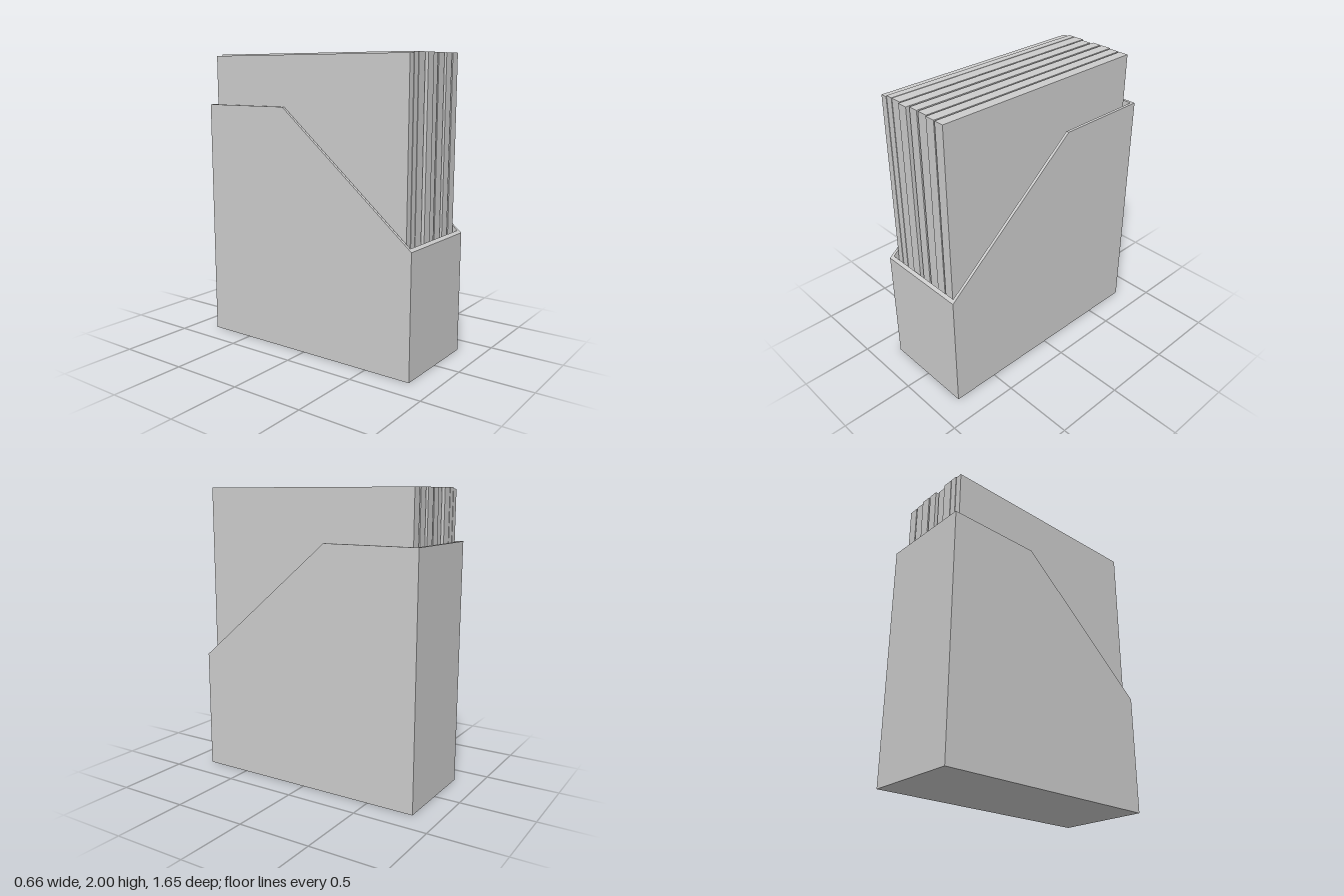
import * as THREE from 'three';

const material = new THREE.MeshStandardMaterial({ color: 0xcccccc });
const W = 0.33, D = 0.825, T = 0.02;      // half width, half depth, wall thickness
const BACK = 1.655, FRONT = 0.825, BEND = -0.165;
const rise = T * (BACK - FRONT) / (D - BEND); // slope height across the front wall

// Extrudes a (z, y) outline along x, centred on the given x
function panel(name, outline, width, x) {
  const shape = new THREE.Shape(outline.map(([z, y]) => new THREE.Vector2(z, y)));
  const geometry = new THREE.ExtrudeGeometry(shape, { depth: width, bevelEnabled: false });
  geometry.translate(0, 0, -width / 2).rotateY(-Math.PI / 2);
  const mesh = new THREE.Mesh(geometry, material);
  mesh.name = name;
  mesh.position.x = x;
  return mesh;
}

export function createModel() {
  const model = new THREE.Group();
  model.name = 'magazineFile';

  // Holder: two sloped side walls joined by a back, floor and front
  const holder = new THREE.Group();
  holder.name = 'holder';
  const side = [[-D, 0], [D, 0], [D, FRONT], [BEND, BACK], [-D, BACK]];
  holder.add(panel('leftWall', side, T, W - T / 2));
  holder.add(panel('rightWall', side, T, -W + T / 2));
  holder.add(panel('backFloorFront', [
    [-D, 0], [D, 0], [D, FRONT], [D - T, FRONT + rise],
    [D - T, T], [-D + T, T], [-D + T, BACK], [-D, BACK],
  ], 2 * (W - T), 0));
  model.add(holder);

  // Magazines: x from, x to, top height, z centre
  const magazines = new THREE.Group();
  magazines.name = 'magazines';
  [
    [-0.302, -0.256, 1.99, -0.002],
    [-0.25, -0.203, 2, -0.002],
    [-0.197, -0.123, 2, -0.002],
    [-0.113, -0.043, 2, 0.014],
    [-0.03, 0.035, 2, -0.002],
    [0.048, 0.121, 2, -0.002],
    [0.131, 0.2, 2, 0.008],
    [0.211, 0.279, 2, 0.01],
  ].forEach(([x0, x1, top, z], i) => {
    const mesh = new THREE.Mesh(new THREE.BoxGeometry(x1 - x0, top - T, 1.55), material);
    mesh.name = `magazine${i + 1}`;
    mesh.position.set((x0 + x1) / 2, (top + T) / 2, z);
    magazines.add(mesh);
  });
  model.add(magazines);
  return model;
}
